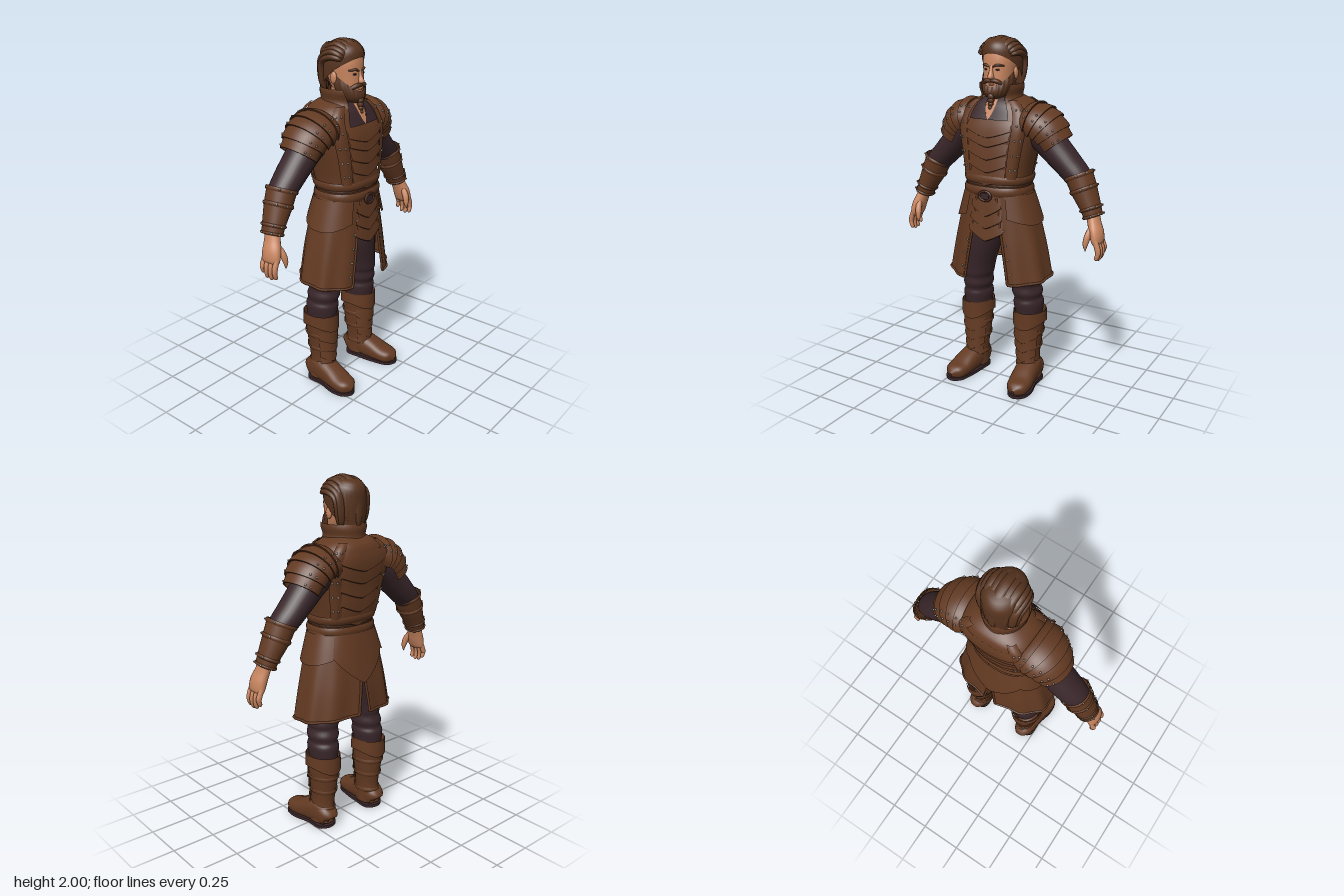
import * as THREE from 'three';
import { mergeVertices } from 'three/addons/utils/BufferGeometryUtils.js';

const V = (x, y, z) => new THREE.Vector3(x, y, z);
const PI = Math.PI, lerp = THREE.MathUtils.lerp;
const paint = (name, color) => {
  const m = new THREE.MeshStandardMaterial({ color, side: THREE.DoubleSide });
  m.name = name;
  return m;
};

export function createModel() {
  const leather = paint('leather', 0x633a22), seam = paint('dark leather', 0x482919);
  const cloth = paint('dark cloth', 0x39262a), skin = paint('skin', 0xc98660);
  const hair = paint('hair', 0x57341f), metal = paint('metal', 0x8d857c), eye = paint('eye', 0x2a1c18);

  // Surface grid from a rule fn(u, v) -> Vector3
  function patch(parent, name, mat, fn, nu = 20, nv = 6) {
    const pos = [], idx = [];
    for (let j = 0; j <= nv; j++) for (let i = 0; i <= nu; i++) pos.push(...fn(i / nu, j / nv).toArray());
    for (let j = 0; j < nv; j++) for (let i = 0; i < nu; i++) {
      const a = j * (nu + 1) + i, b = a + nu + 1;
      idx.push(a, a + 1, b, a + 1, b + 1, b);
    }
    let g = new THREE.BufferGeometry();
    g.setAttribute('position', new THREE.Float32BufferAttribute(pos, 3));
    g.setIndex(idx);
    g = mergeVertices(g, 1e-5);
    g.computeVertexNormals();
    return put(parent, name, mat, g);
  }
  function put(parent, name, mat, g, x = 0, y = 0, z = 0) {
    const m = new THREE.Mesh(g, mat);
    m.name = name;
    m.position.set(x, y, z);
    parent.add(m);
    return m;
  }

  // Cross-sections [x, y, z, a, b]: horizontal, or square to the path when w is given
  function sweep(rows, w, e = 2) {
    const curve = k => new THREE.CatmullRomCurve3(rows.map(k), false, 'catmullrom', 0.5);
    const c = curve(r => V(r[0], r[1], r[2])), s = curve(r => V(r[3], r[4], 0));
    const pw = k => Math.sign(k) * Math.abs(k) ** (2 / e);
    const f = (phi, t, off = 0) => {
      const p = c.getPoint(t), r = s.getPoint(t);
      let A = V(1, 0, 0), W = V(0, 0, 1);
      if (w) {
        const T = c.getTangent(t);
        A = w.clone().cross(T).normalize();
        W = T.clone().cross(A);
      }
      return p.addScaledVector(A, (Math.max(r.x, 0.001) + off) * pw(Math.sin(phi)))
        .addScaledVector(W, (Math.max(r.y, 0.001) + off) * pw(Math.cos(phi)));
    };
    const up = rows[rows.length - 1][1] > rows[0][1];
    f.at = (phi, y, off) => {
      let lo = 0, hi = 1;
      for (let i = 0; i < 24; i++) {
        const m = (lo + hi) / 2;
        if ((c.getPoint(m).y < y) === up) lo = m; else hi = m;
      }
      return f(phi, lo, off);
    };
    return f;
  }
  const solid = (p, name, mat, f, nu = 28, nv = 24) => patch(p, name, mat, (u, v) => f(u * 2 * PI, v), nu, nv);
  const ring = (p, name, mat, f, y0, y1, off) => patch(p, name, mat, (u, v) =>
    f.at(u * 2 * PI, lerp(y0, y1, v), off * Math.sin(PI * (0.12 + 0.76 * v)) ** 0.5), 40, 6);
  const stud = new THREE.SphereGeometry(0.006, 8, 6);
  const studAt = (p, v) => put(p, 'stud', metal, stud, v.x, v.y, v.z);

  // Overlapping plates with a pointed lower edge and a dark seam
  function chevrons(p, name, f, phi0, half, tops, h, dip, off = 0.004) {
    for (const y of tops) {
      const at = (u, d, o) => f.at(phi0 + half * (2 * u - 1), y - d * (h + dip * (1 - Math.abs(2 * u - 1))), o);
      patch(p, name, leather, (u, v) => at(u, v, off + 0.009 * v), 20, 4);
      patch(p, name + ' seam', seam, (u, v) => at(u, 1 + v * 0.06, off + 0.009 * (1 - v)), 20, 1);
    }
  }

  const model = new THREE.Group();
  model.name = 'leatherArmouredMan';

  // Torso
  const torso = sweep([[0, 1.1, 0, .18, .14], [0, 1.2, 0, .178, .138], [0, 1.3, -.01, .19, .15], [0, 1.42, -.02, .215, .158],
    [0, 1.52, -.035, .235, .163], [0, 1.59, -.05, .225, .153], [0, 1.65, -.055, .17, .13], [0, 1.69, -.05, .09, .08]], null, 2.5);
  solid(model, 'torso', leather, torso, 48, 36);
  chevrons(model, 'chest plate', torso, 0, 0.5, [1.3, 1.37, 1.44, 1.51, 1.56], 0.05, 0.04);
  chevrons(model, 'back plate', torso, PI, 0.6, [1.31, 1.39, 1.47, 1.55, 1.62], 0.06, 0.05);
  patch(model, 'neck opening', skin, (u, v) => torso.at((2 * u - 1) * 0.15 * (1 - v), lerp(1.685, 1.56, v), 0.014), 8, 10);
  ring(model, 'upper belt', leather, torso, 1.26, 1.215, 0.016);
  ring(model, 'belt seam', seam, torso, 1.216, 1.2, 0.008);
  ring(model, 'lower belt', leather, torso, 1.2, 1.15, 0.018);
  const buckle = put(model, 'buckle', seam, new THREE.TorusGeometry(0.03, 0.007, 8, 24), 0, 1.15, 0.16);
  buckle.scale.set(1.2, 0.9, 1);
  put(model, 'buckle plate', cloth, new THREE.BoxGeometry(0.05, 0.035, 0.008), 0, 1.15, 0.159);

  // Coat skirt, open at front and rear
  const skirt = sweep([[0, 1.2, 0, .186, .143], [0, 1.05, -.01, .225, .158], [0, .85, -.018, .272, .178], [0, .64, -.02, .312, .19]], null, 2.3);
  const coat = (u, v) => {
    const phi = lerp(lerp(0.24, 0.42, v), PI - 0.16 * Math.max(0, v - 0.4), u);
    const y = lerp(1.19, lerp(0.655, 0.7, u), v);
    return skirt.at(phi, y, 0.006 * v * Math.sin(u * 26));
  };
  chevrons(model, 'front tab', skirt, 0, 0.38, [1.15, 1.08, 1.01], 0.06, 0.055, 0.002);
  patch(model, 'rear tab', leather, (u, v) => skirt.at(PI + (2 * u - 1) * 0.75,
    1.16 - v * (0.12 + 0.16 * (1 - Math.abs(2 * u - 1))), 0.008 + 0.008 * v), 24, 6);

  // Trouser seat
  solid(model, 'trouserSeat', cloth, sweep([[0, 1.15, -.01, .165, .12], [0, 1, -.02, .175, .125], [0, .92, -.02, .14, .115], [0, .87, -.02, .01, .02]]));

  // Neck, head and face
  solid(model, 'neck', skin, sweep([[0, 1.56, -.04, .08, .08], [0, 1.64, -.03, .068, .075], [0, 1.75, -.02, .065, .07]]), 24, 8);
  const head = sweep([[0, 1.665, .045, .012, .012], [0, 1.69, .03, .05, .055], [0, 1.75, .004, .076, .088], [0, 1.82, -.01, .087, .1],
    [0, 1.89, -.015, .09, .102], [0, 1.95, -.02, .07, .085], [0, 1.98, -.02, .01, .01]], null, 2.2);
  solid(model, 'head', skin, head, 32, 28);
  solid(model, 'nose', skin, sweep([[0, 1.85, .084, .008, .006], [0, 1.815, .088, .011, .014], [0, 1.785, .09, .017, .026], [0, 1.772, .088, .004, .006]]), 16, 12);
  patch(model, 'beard', hair, (u, v) => {
    const k = Math.abs(2 * u - 1);
    return head.at((2 * u - 1) * 1.65, lerp(1.665, 1.735 + 0.1 * k ** 1.6, v), 0.016 * Math.sin(PI * (0.15 + 0.75 * v)) + 0.002 * Math.sin(u * 70));
  }, 48, 10);
  put(model, 'lower lip', skin, new THREE.SphereGeometry(0.014, 12, 8), 0, 1.748, 0.09).scale.set(1.3, 0.45, 0.7);
  for (let i = 0; i < 5; i++)
    put(model, 'beard braid', hair, new THREE.SphereGeometry(0.021 - i * 0.0025, 12, 8), 0, 1.685 - i * 0.02, 0.09 + i * 0.002);

  // Hair cap with swept-back locks
  const cap = sweep([[0, 1.68, -.06, .08, .085], [0, 1.78, -.045, .1, .107], [0, 1.87, -.035, .108, .122], [0, 1.94, -.032, .1, .12],
    [0, 1.98, -.03, .06, .08], [0, 1.99, -.03, .004, .004]]);
  patch(model, 'hair cap', hair, (u, v) => {
    const k = (1 - Math.cos(u * 2 * PI)) / 2;
    const low = k < 0.4 ? lerp(1.91, 1.84, k / 0.4) : lerp(1.84, 1.69, (k - 0.4) / 0.6);
    return cap.at(u * 2 * PI, lerp(low, 1.99, v), 0);
  }, 40, 16);
  for (let i = 0; i < 11; i++) {
    const al = (i - 5) * 0.28, s = Math.sin(al), c = Math.cos(al), q = Math.abs(s), j = (i % 2) * 0.008;
    solid(model, 'hair lock', hair, sweep([[.088 * s, 1.895 + .03 * c, .085 - .05 * q, .006, .008], [.098 * s, 1.9 + .062 * c, .05 - .03 * q, .016, .024],
      [.104 * s, 1.898 + .082 * c + j / 2, -.03, .017, .03], [.1 * s, 1.87 + .065 * c, -.115 + .03 * q - j, .016, .028],
      [.09 * s, 1.79, -.137 + .045 * q - j, .016, .024], [.075 * s, 1.71 - j, -.135 + .05 * q, .004, .006]], V(1, 0, 0)), 12, 24);
  }

  // Open collar
  const collar = sweep([[0, 1.62, -.035, .14, .125], [0, 1.68, -.03, .118, .125], [0, 1.75, -.025, .118, .122]]);
  patch(model, 'collar', leather, (u, v) => collar(lerp(0.42 + 0.5 * v, 2 * PI - 0.42 - 0.5 * v, u), v, 0.005 * Math.sin(v * 9)), 40, 10);

  function buildSide() {
    const g = new THREE.Group(), zAxis = V(0, 0, 1);

    // Eye, brow, moustache, ear
    put(g, 'eye', eye, new THREE.SphereGeometry(0.011, 12, 8), .034, 1.826, .08).scale.set(1.2, .5, .7);
    solid(g, 'brow', hair, sweep([[.01, 1.84, .09, .003, .003], [.035, 1.85, .087, .007, .007], [.066, 1.847, .062, .003, .004]], zAxis), 10, 10);
    solid(g, 'moustache', hair, sweep([[0, 1.768, .094, .008, .012], [.03, 1.767, .09, .012, .014], [.055, 1.752, .07, .009, .01], [.064, 1.735, .055, .002, .002]], zAxis), 12, 12);
    put(g, 'ear', skin, new THREE.SphereGeometry(0.03, 12, 10), .092, 1.805, -.015).scale.set(.4, 1.1, .7);

    // Under-collar, vest strap and its studs
    patch(g, 'under-collar', cloth, (u, v) => torso.at(lerp(.15 * (1 - v), .4, u), lerp(1.68, 1.565, v), 0.016), 6, 8);
    for (const [a, b] of [[.52, .95], [PI - .95, PI - .55]]) {
      patch(g, 'vest strap', leather, (u, v) => torso.at(lerp(a, b, u), lerp(1.665, 1.25, v), 0.018 * Math.sin(PI * (.15 + .7 * u))), 8, 24);
      for (const y of [1.3, 1.38, 1.46, 1.54, 1.62]) for (const k of [.3, .7]) studAt(g, torso.at(lerp(a, b, k), y, 0.017));
    }

    // Coat panel with hem, and hip flap
    patch(g, 'coat panel', leather, coat, 64, 24);
    const edge = [];
    for (let i = 0; i <= 12; i++) edge.push(coat(0, 0.08 + 0.92 * i / 12));
    for (let i = 1; i <= 32; i++) edge.push(coat(i / 32, 1));
    for (let i = 11; i >= 4; i--) edge.push(coat(1, i / 12));
    put(g, 'coat hem', leather, new THREE.TubeGeometry(new THREE.CatmullRomCurve3(edge), 120, 0.008, 6));
    patch(g, 'hip flap', leather, (u, v) => skirt.at(lerp(.5, 2.4, u), lerp(1.16, 1.03 - .04 * Math.sin(u * PI), v), .006 + .01 * v), 24, 6);
    for (const y of [.72, .8, .88, .96, 1.04]) studAt(g, skirt.at(lerp(.5, .33, (y - .7) / .4), y, 0.004));

    // Sleeve, pauldron lames, bracer
    solid(g, 'sleeve', cloth, sweep([[.17, 1.52, -.05, .09, .1], [.25, 1.47, -.06, .09, .1], [.325, 1.395, -.065, .083, .09],
      [.4, 1.32, -.068, .075, .085], [.465, 1.25, -.065, .068, .076], [.52, 1.14, -.055, .05, .06]], zAxis));
    const shoulder = sweep([[.16, 1.555, -.05, .1, .145], [.22, 1.54, -.052, .104, .145], [.275, 1.5, -.058, .1, .128], [.325, 1.43, -.064, .08, .1]], zAxis);
    for (let i = 0; i < 5; i++) {
      patch(g, 'pauldron lame', leather, (u, v) => shoulder(lerp(-.45, PI + .45, u), (i + v * 1.1) / 5.1, .013 * v), 28, 4);
      patch(g, 'pauldron seam', seam, (u, v) => shoulder(lerp(-.45, PI + .45, u), (i + 1.1) / 5.1, .013 - .01 * v), 28, 1);
      for (const k of [.12, .22, .78, .88]) studAt(g, shoulder(PI * k, (i + .8) / 5.1, .011));
    }
    const bracer = sweep([[.452, 1.285, -.066, .077, .084], [.49, 1.2, -.062, .071, .078], [.53, 1.12, -.055, .058, .067], [.555, 1.06, -.05, .05, .06]], zAxis);
    solid(g, 'bracer', leather, bracer, 28, 12);
    for (const t of [0, .28, .7, .92]) {
      patch(g, 'bracer strap', leather, (u, v) => bracer(u * 2 * PI, t + .08 * v, .008 * Math.sin(PI * (.1 + .8 * v))), 28, 4);
      for (const a of [.3, 1, 2]) studAt(g, bracer(a, t + .04, .008));
    }

    // Hand
    solid(g, 'palm', skin, sweep([[.55, 1.08, -.048, .036, .042], [.567, 1.03, -.038, .034, .05], [.585, .98, -.028, .036, .058], [.597, .93, -.024, .026, .056], [.6, .92, -.024, .004, .03]], zAxis), 20, 16);
    for (let i = 0; i < 4; i++) {
      const z = .018 - i * .029, d = [.008, 0, .004, .024][i];
      solid(g, 'finger', skin, sweep([[.592, .96, z, .014, .014], [.612, .905, z, .016, .015], [.615, .868 + d, z, .014, .013], [.606, .84 + d, z, .011, .01], [.604, .832 + d, z, .001, .001]], zAxis), 10, 14);
    }
    solid(g, 'thumb', skin, sweep([[.565, 1.02, -.01, .014, .016], [.555, .97, .022, .018, .019], [.548, .925, .034, .014, .014], [.55, .89, .036, .002, .002]], zAxis), 10, 12);

    // Trouser leg with folds at the knee
    solid(g, 'trouserLeg', cloth, sweep([[.09, 1.08, -.02, .09, .12], [.1, .95, -.02, .098, .125], [.12, .82, -.022, .098, .117], [.145, .7, -.027, .088, .103],
      [.158, .64, -.03, .088, .1], [.16, .61, -.033, .08, .094], [.165, .57, -.038, .086, .1], [.168, .535, -.042, .077, .092], [.17, .5, -.046, .085, .1], [.172, .42, -.05, .075, .09]]), 32, 40);

    // Boot
    const boot = sweep([[.176, .455, -.052, .09, .107], [.175, .36, -.052, .082, .098], [.173, .26, -.05, .072, .088], [.175, .16, -.045, .061, .078], [.18, .09, -.045, .064, .08], [.183, .03, -.045, .068, .083]]);
    solid(g, 'boot shaft', leather, boot, 28, 20);
    patch(g, 'boot cuff', leather, (u, v) => boot.at(u * 2 * PI, lerp(.45, .37 - .02 * Math.cos(u * 4 * PI), v), .004 + .009 * v), 36, 4);
    chevrons(g, 'shin plate', boot, 0, 1.1, [.35, .29, .23, .17], .05, .035);
    for (const y of [.33, .24, .13]) ring(g, 'boot strap', leather, boot, y, y - .025, .008);
    solid(g, 'foot', leather, sweep([[.183, .05, -.132, .02, .025], [.183, .062, -.115, .055, .056], [.186, .08, -.04, .067, .075], [.194, .068, .04, .068, .064],
      [.205, .05, .12, .069, .046], [.21, .042, .18, .055, .038], [.211, .036, .215, .006, .012]], V(0, 1, 0), 2.5), 28, 28);
    const outline = [[.183, -.13], [.243, -.1], [.25, 0], [.275, .11], [.262, .185], [.212, .215], [.16, .185], [.136, .1], [.124, 0], [.124, -.1]];
    const sole = new THREE.Shape(new THREE.CatmullRomCurve3(outline.map(p => V(p[0], -p[1], 0)), true).getPoints(48).map(p => new THREE.Vector2(p.x, p.y)));
    put(g, 'sole', cloth, new THREE.ExtrudeGeometry(sole, { depth: .018, bevelEnabled: false }).rotateX(-PI / 2));
    return g;
  }

  const left = buildSide(), right = buildSide();
  left.name = 'leftSide';
  right.name = 'rightSide';
  right.scale.x = -1;
  model.add(left, right);
  return model;
}
